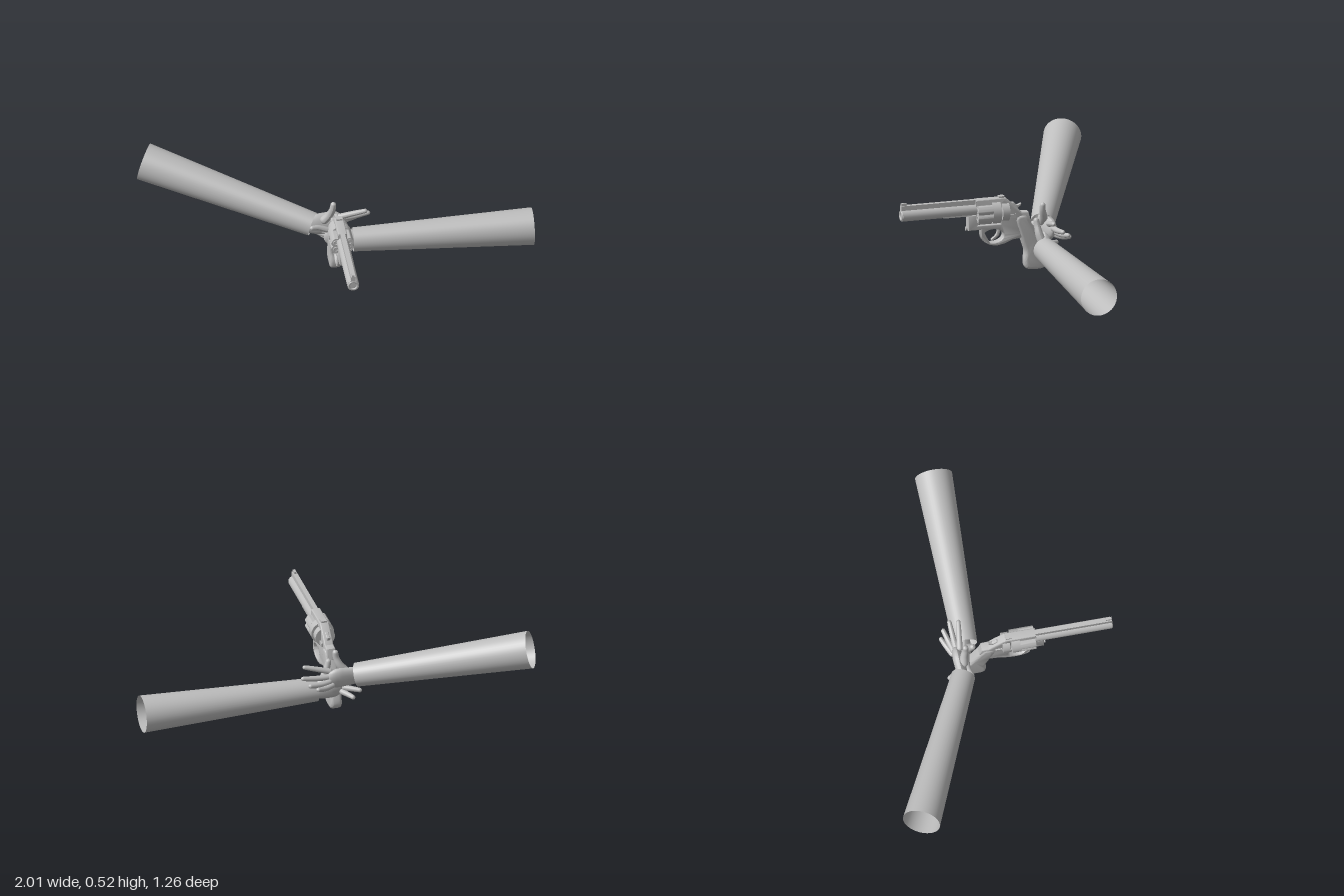
import * as THREE from 'three';
import { toCreasedNormals } from 'three/addons/utils/BufferGeometryUtils.js';

const V = (a) => new THREE.Vector3(...a);
const GX = -0.033; // centre plane of the revolver

export function createModel() {
  const root = new THREE.Group();
  const grey = new THREE.MeshStandardMaterial({ color: 0xbdbdbd, side: THREE.DoubleSide });
  grey.name = 'plain grey';

  const add = (parent, name, geo, pos = [0, 0, 0]) => {
    const m = new THREE.Mesh(geo, grey);
    m.name = name;
    m.position.set(...pos);
    parent.add(m);
    return m;
  };
  const group = (name) => {
    const g = new THREE.Group();
    g.name = name;
    root.add(g);
    return g;
  };
  // Side profile in (z, y), extruded symmetrically across x
  const plate = (shape, width, bevel) => {
    const g = new THREE.ExtrudeGeometry(shape, {
      depth: width - 2 * bevel, bevelEnabled: bevel > 0, bevelSize: bevel,
      bevelThickness: bevel, bevelOffset: -bevel, bevelSegments: 4, curveSegments: 20,
    });
    g.translate(0, 0, -(width - 2 * bevel) / 2).rotateY(-Math.PI / 2);
    return toCreasedNormals(g, 0.6);
  };
  const poly = (pts) => new THREE.Shape(pts.map((p) => new THREE.Vector2(...p)));
  const smooth = (pts) => new THREE.Shape(
    new THREE.CatmullRomCurve3(pts.map((p) => V([...p, 0])), true).getPoints(60).map((p) => new THREE.Vector2(p.x, p.y)));
  // Cylinder lying along z
  const rod = (r, z0, z1, sides = 28) => new THREE.CylinderGeometry(r, r, z1 - z0, sides)
    .rotateX(Math.PI / 2).translate(0, 0, (z0 + z1) / 2);

  // Round-ended limb along a curve, with varying radius, flattened along one direction
  const limb = (pts, radii, flat = [0, 0, 1], amount = 1) => {
    const curve = new THREE.CatmullRomCurve3(pts.map(V));
    const n = 28, sides = 14, len = curve.getLength();
    const g = new THREE.TubeGeometry(curve, n, 1, sides, false);
    const p = g.attributes.position, f = V(flat).normalize();
    for (let i = 0; i <= n; i++) {
      const t = i / n, c = curve.getPointAt(t);
      const s = t * (radii.length - 1), k = Math.min(Math.floor(s), radii.length - 2);
      let r = THREE.MathUtils.lerp(radii[k], radii[k + 1], s - k);
      const d = Math.min(t, 1 - t) * len;
      if (d < r) r *= Math.sqrt(Math.max(0.0004, 1 - (1 - d / r) ** 2));
      for (let j = 0; j <= sides; j++) {
        const id = i * (sides + 1) + j;
        const o = new THREE.Vector3().fromBufferAttribute(p, id).sub(c).multiplyScalar(r);
        o.addScaledVector(f, (amount - 1) * o.dot(f)).add(c);
        p.setXYZ(id, o.x, o.y, o.z);
      }
    }
    g.computeVertexNormals();
    return g;
  };

  // Revolver
  const gun = group('revolver');
  gun.position.x = GX;
  const frame = poly([[0.225, 0.398], [0.065, 0.398], [0.01, 0.35], [-0.02, 0.316], [-0.058, 0.313],
    [-0.072, 0.26], [-0.05, 0.2], [-0.02, 0.178], [0.03, 0.172], [0.07, 0.155], [0.11, 0.147],
    [0.15, 0.152], [0.18, 0.17], [0.196, 0.2], [0.2, 0.238], [0.268, 0.238], [0.268, 0.32], [0.225, 0.32]]);
  const cylinderWindow = new THREE.Path([[0.222, 0.385], [0.222, 0.262], [0.094, 0.262], [0.094, 0.385]]
    .map((p) => new THREE.Vector2(...p)));
  const guardHole = new THREE.Path().absellipse(0.132, 0.2, 0.056, 0.036, 0, Math.PI * 2, true);
  frame.holes.push(cylinderWindow, guardHole);
  add(gun, 'frame', plate(frame, 0.048, 0.006));
  add(gun, 'grip', plate(smooth([[0.01, 0.285], [-0.04, 0.3], [-0.075, 0.25], [-0.11, 0.18], [-0.15, 0.1],
    [-0.165, 0.035], [-0.14, 0.008], [-0.09, 0.003], [-0.045, 0.012], [-0.035, 0.05], [-0.04, 0.1],
    [-0.025, 0.15], [-0.01, 0.2]]), 0.06, 0.016));
  add(gun, 'barrel', rod(0.031, 0.2, 0.622), [0, 0.345, 0]);
  add(gun, 'muzzleRim', new THREE.TorusGeometry(0.023, 0.006, 10, 28), [0, 0.345, 0.622]);
  add(gun, 'barrelRib', new THREE.BoxGeometry(0.024, 0.04, 0.4), [0, 0.378, 0.425]);
  add(gun, 'frontSight', new THREE.BoxGeometry(0.012, 0.02, 0.03), [0, 0.4, 0.61]);
  add(gun, 'rearSight', new THREE.BoxGeometry(0.03, 0.014, 0.03), [0, 0.4, 0.085]);
  add(gun, 'ejectorRod', rod(0.009, 0.25, 0.4, 14), [0, 0.324, 0]);
  add(gun, 'ejectorShroud', new THREE.BoxGeometry(0.044, 0.02, 0.15), [0, 0.326, 0.325]);
  add(gun, 'craneKnob', rod(0.011, 0.215, 0.277, 14), [0, 0.246, 0]);

  // Fluted cylinder
  const drum = new THREE.Shape();
  for (let i = 0; i < 72; i++) {
    const a = (i / 72) * Math.PI * 2;
    const r = 0.061 - 0.011 * Math.max(0, Math.cos(a * 6)) ** 2;
    if (i) drum.lineTo(r * Math.cos(a), r * Math.sin(a)); else drum.moveTo(r, 0);
  }
  drum.closePath();
  const flutes = new THREE.ExtrudeGeometry(drum, { depth: 0.08, bevelEnabled: false });
  add(gun, 'flutedCylinder', toCreasedNormals(flutes, 0.6), [0, 0.324, 0.141]);
  add(gun, 'cylinderRear', rod(0.061, 0.097, 0.141), [0, 0.324, 0]);
  add(gun, 'recoilShield', rod(0.052, 0.05, 0.088), [0, 0.324, 0]);
  for (let i = 0; i < 6; i++) {
    const a = (i + 0.5) * Math.PI / 3;
    add(gun, 'chamberRim', new THREE.TorusGeometry(0.012, 0.003, 8, 16),
      [0.04 * Math.cos(a), 0.324 + 0.04 * Math.sin(a), 0.221]);
  }
  add(gun, 'hammer', plate(smooth([[0.04, 0.36], [0.02, 0.368], [0, 0.352], [-0.022, 0.36], [-0.02, 0.348],
    [-0.005, 0.335], [0.0, 0.31], [0.03, 0.31]]), 0.018, 0.004));
  add(gun, 'trigger', plate(smooth([[0.14, 0.24], [0.11, 0.24], [0.112, 0.205], [0.14, 0.176],
    [0.134, 0.172], [0.1, 0.195], [0.09, 0.24]]), 0.016, 0.003));
  for (const s of [-1, 1]) {
    add(gun, 'cylinderLatch', new THREE.BoxGeometry(0.008, 0.02, 0.035), [s * 0.027, 0.3, 0.03]);
  }

  // Open tapered sleeves
  const sleeve = (name, wide, narrow, r0, r1) => {
    const a = V(wide), b = V(narrow), dir = b.clone().sub(a);
    const g = new THREE.CylinderGeometry(r1, r0, dir.length(), 40, 1, true);
    const m = add(root, name, g);
    m.position.copy(a).add(b).multiplyScalar(0.5);
    m.quaternion.setFromUnitVectors(new THREE.Vector3(0, 1, 0), dir.normalize());
  };
  sleeve('rightSleeve', [-0.96, 0.425, -0.54], [-0.135, 0.206, -0.17], 0.098, 0.062);
  sleeve('leftSleeve', [1, 0.125, -0.117], [0.066, 0.125, -0.122], 0.097, 0.062);

  // Hands: wrist and palm, then fingers spread from the knuckles
  const hand = (name, palm, flat, fingers, thumb) => {
    const h = group(name);
    add(h, 'palm', limb(palm, [0.046, 0.046, 0.056, 0.06, 0.05], flat, 0.5));
    for (const f of fingers) add(h, 'finger', limb(f, [0.016, 0.015, 0.0135, 0.011]));
    add(h, 'thumb', limb(thumb, [0.024, 0.021, 0.017, 0.014]));
  };
  hand('rightHand',
    [[-0.24, 0.234, -0.217], [-0.14, 0.208, -0.175], [-0.06, 0.205, -0.175], [0.03, 0.215, -0.18]], [0.2, 0.2, 1],
    [
      [[-0.01, 0.24, -0.165], [0.07, 0.262, -0.155], [0.147, 0.282, -0.145]],
      [[0, 0.222, -0.18], [0.08, 0.226, -0.185], [0.168, 0.24, -0.19]],
      [[0, 0.202, -0.19], [0.07, 0.2, -0.21], [0.138, 0.212, -0.23]],
      [[-0.01, 0.182, -0.195], [0.05, 0.182, -0.225], [0.1, 0.195, -0.25]],
    ],
    [[-0.09, 0.22, -0.16], [-0.05, 0.27, -0.15], [-0.035, 0.31, -0.14], [-0.03, 0.352, -0.14]]);
  hand('leftHand',
    [[0.18, 0.125, -0.12], [0.08, 0.125, -0.122], [0, 0.135, -0.14], [-0.08, 0.15, -0.15]], [0.2, 0, 1],
    [
      [[-0.05, 0.18, -0.14], [-0.11, 0.205, -0.135], [-0.155, 0.215, -0.12]],
      [[-0.06, 0.16, -0.155], [-0.12, 0.175, -0.165], [-0.163, 0.175, -0.16]],
      [[-0.06, 0.14, -0.16], [-0.115, 0.14, -0.2], [-0.15, 0.14, -0.225]],
      [[-0.05, 0.12, -0.16], [-0.085, 0.115, -0.21], [-0.105, 0.112, -0.245]],
    ],
    [[0.03, 0.15, -0.12], [0.015, 0.2, -0.105], [0, 0.24, -0.1], [-0.01, 0.28, -0.095]]);

  return root;
}
